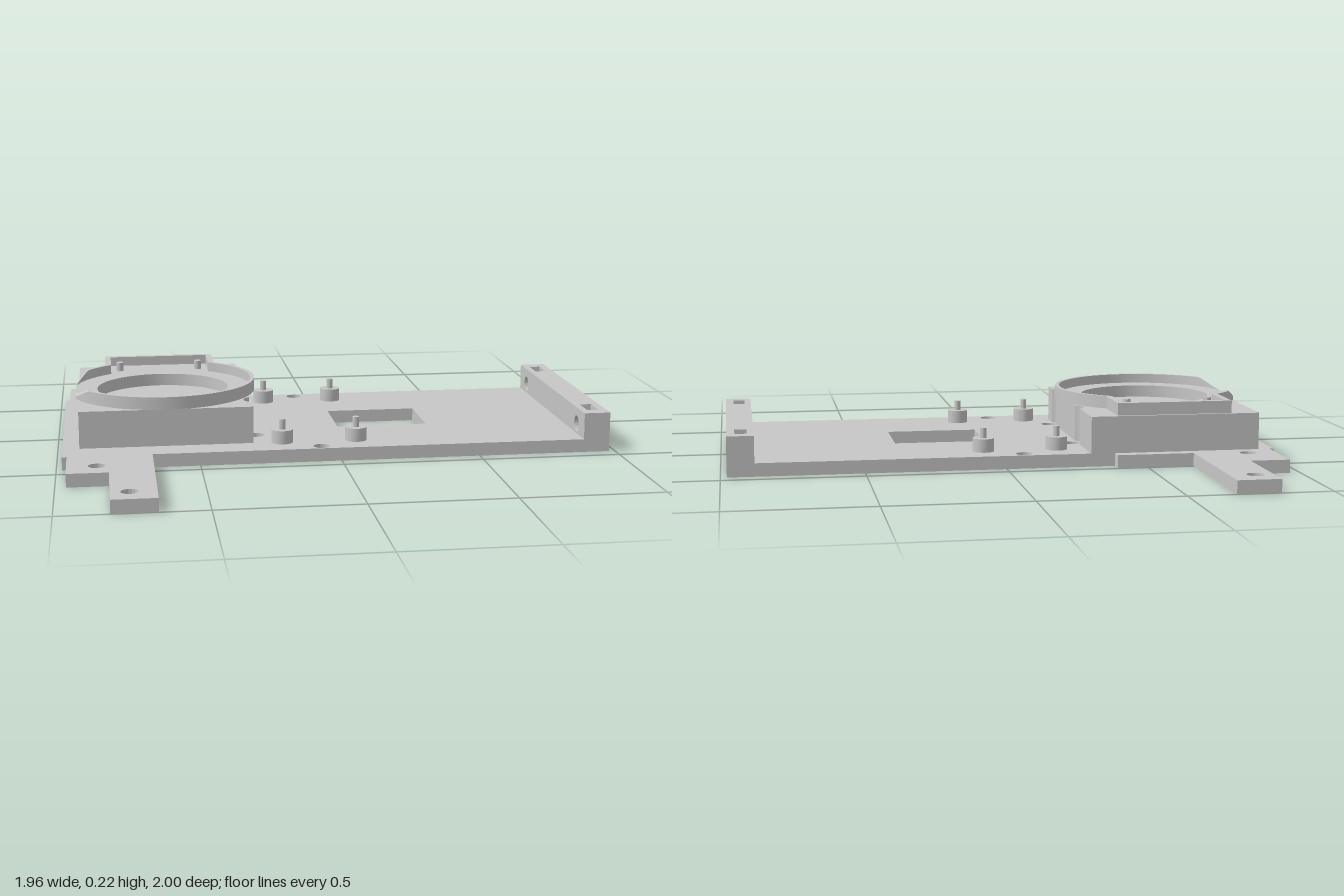
import * as THREE from 'three';
import { toCreasedNormals } from 'three/addons/utils/BufferGeometryUtils.js';

const grey = new THREE.MeshStandardMaterial({ color: 0xc6c6c6 });
grey.name = 'plain grey';

const RING_X = -0.61; // centre of the round tray
const PLATE_Y = 0.047; // top of the base plate
const WALL_Y = 0.143; // top of the end wall

function add(group, name, geometry) {
  const mesh = new THREE.Mesh(toCreasedNormals(geometry, 0.5), grey);
  mesh.name = name;
  group.add(mesh);
}

// Shape and hole helpers, in plan coordinates [x, z]; outlines run counter-clockwise
function toPlan(pts) {
  const plan = pts.map(([x, z]) => new THREE.Vector2(x, -z));
  return THREE.ShapeUtils.isClockWise(plan) ? plan.reverse() : plan;
}
const rectHole = (x0, x1, z0, z1) => new THREE.Path(toPlan([[x0, z0], [x1, z0], [x1, z1], [x0, z1]]));
function roundHole(x, z, r) {
  const p = new THREE.Path();
  p.absarc(x, -z, r, 0, Math.PI * 2, true);
  return p;
}

// Horizontal slab between two heights
function slab(group, name, pts, holes, y0, y1) {
  const shape = new THREE.Shape(toPlan(pts));
  shape.holes.push(...holes);
  const g = new THREE.ExtrudeGeometry(shape, { depth: y1 - y0, bevelEnabled: false, curveSegments: 32 });
  g.rotateX(-Math.PI / 2).translate(0, y0, 0);
  add(group, name, g);
}

function cylinder(group, name, x, z, r, y0, y1) {
  const g = new THREE.CylinderGeometry(r, r, y1 - y0, 24);
  g.translate(x, (y0 + y1) / 2, z);
  add(group, name, g);
}

// Keyhole outline: circle with a flat left side and a square neck to the back
function keyhole(r, neckHalf, neckBack) {
  const pts = [];
  const cut = Math.acos(-0.32 / r);
  const join = Math.acos(neckHalf / r);
  const arc = (a0, a1, n) => {
    for (let i = 0; i <= n; i++) {
      const a = a0 + ((a1 - a0) * i) / n;
      pts.push([RING_X + r * Math.cos(a), r * Math.sin(a)]);
    }
  };
  arc(cut, -join, 64);
  pts.push([RING_X + neckHalf, neckBack], [RING_X - neckHalf, neckBack]);
  arc(join - Math.PI, -cut, 16);
  return pts;
}

// Thin raised lip between two outlines, ramping down on the left side
function lipGeometry(outer, inner, base, top) {
  const height = (x) => Math.min(top, Math.max(base, base + (x + 0.93) * 0.78));
  const pos = [];
  const idx = [];
  outer.forEach(([ox, oz], i) => {
    const [ix, iz] = inner[i];
    pos.push(ox, base, oz, ox, height(ox), oz, ix, height(ix), iz, ix, base, iz);
    if (i === 0) return;
    for (let k = 0; k < 4; k++) {
      const n = (k + 1) % 4;
      const a = (i - 1) * 4;
      const b = i * 4;
      idx.push(a + k, b + k, b + n, a + k, b + n, a + n);
    }
  });
  const g = new THREE.BufferGeometry();
  g.setAttribute('position', new THREE.Float32BufferAttribute(pos, 3));
  g.setIndex(idx);
  return g;
}

// Upright slab of the end wall, between two x positions
function wallSlab(group, name, x0, x1, pocketed) {
  const pts = [[-0.447, PLATE_Y], [0.45, PLATE_Y], [0.45, WALL_Y]];
  const centres = [0.355, -0.35];
  if (pocketed) {
    for (const c of centres) {
      pts.push([c + 0.046, WALL_Y], [c + 0.046, 0.053], [c - 0.046, 0.053], [c - 0.046, WALL_Y]);
    }
  }
  pts.push([-0.447, WALL_Y]);
  const shape = new THREE.Shape(pts.map(([u, y]) => new THREE.Vector2(u, y)));
  if (!pocketed) {
    for (const c of centres) shape.holes.push(roundHole(c, -0.083, 0.029));
  }
  const g = new THREE.ExtrudeGeometry(shape, { depth: x1 - x0, bevelEnabled: false, curveSegments: 16 });
  g.rotateY(Math.PI / 2).translate(x0, 0, 0);
  add(group, name, g);
}

export function createModel() {
  const model = new THREE.Group();
  model.name = 'mountingPlate';

  // Base plate with side arms, screw holes, window and cable slot
  const base = [
    [-0.98, -0.45], [-0.963, -0.45], [-0.963, -0.673], [-0.82, -0.673], [-0.82, -1],
    [-0.667, -1], [-0.667, -0.497], [-0.39, -0.497], [-0.39, -0.45], [0.978, -0.45],
    [0.978, 0.447], [-0.667, 0.447], [-0.667, 1], [-0.82, 1], [-0.82, 0.67],
    [-0.963, 0.67], [-0.963, 0.447], [-0.98, 0.447],
  ];
  const screws = [
    [-0.068, -0.413], [-0.068, 0.412], [-0.282, -0.219], [-0.282, 0.217],
    [-0.86, -0.52], [-0.86, 0.577], [-0.757, -0.913], [-0.757, 0.912],
  ];
  const baseHoles = screws.map(([x, z]) => roundHole(x, z, 0.029));
  baseHoles.push(rectHole(0.03, 0.365, -0.13, 0.128));
  baseHoles.push(rectHole(-0.81, -0.455, -0.415, -0.37));
  slab(model, 'basePlate', base, baseHoles, 0, PLATE_Y);

  // Raised block with two rounded screw clearances in its inner side
  const block = [[-0.92, 0.335], [-0.92, -0.455], [-0.303, -0.455]];
  for (const zc of [-0.219, 0.217]) {
    const open = Math.acos(-0.021 / 0.046);
    for (let i = 0; i <= 16; i++) {
      const a = -open - ((Math.PI - open) * 2 * i) / 16;
      block.push([-0.282 + 0.046 * Math.cos(a), zc + 0.046 * Math.sin(a)]);
    }
  }
  block.push([-0.303, 0.335]);
  const well = () => roundHole(RING_X, 0, 0.242);
  slab(model, 'blockLower', block, [], PLATE_Y, 0.145);
  slab(model, 'blockUpper', block, [well()], 0.145, 0.18);

  // Keyhole tray with its lip and locating pegs
  const outer = keyhole(0.341, 0.21, -0.444);
  const inner = keyhole(0.326, 0.188, -0.423);
  slab(model, 'trayFloor', outer, [well()], 0.18, 0.19);
  add(model, 'trayLip', lipGeometry(outer, inner, 0.19, 0.225));
  for (const x of [-0.763, -0.46]) cylinder(model, 'trayPeg', x, -0.328, 0.014, 0.19, 0.223);

  // Standoffs with pins
  for (const x of [-0.2, 0.067]) {
    for (const z of [-0.335, 0.333]) {
      cylinder(model, 'standoff', x, z, 0.039, PLATE_Y, 0.095);
      cylinder(model, 'standoffPin', x, z, 0.012, 0.095, 0.132);
    }
  }

  // End wall with cross holes and nut pockets
  wallSlab(model, 'endWallInner', 0.883, 0.907, false);
  wallSlab(model, 'endWallPockets', 0.907, 0.949, true);
  wallSlab(model, 'endWallOuter', 0.949, 0.978, false);

  return model;
}
